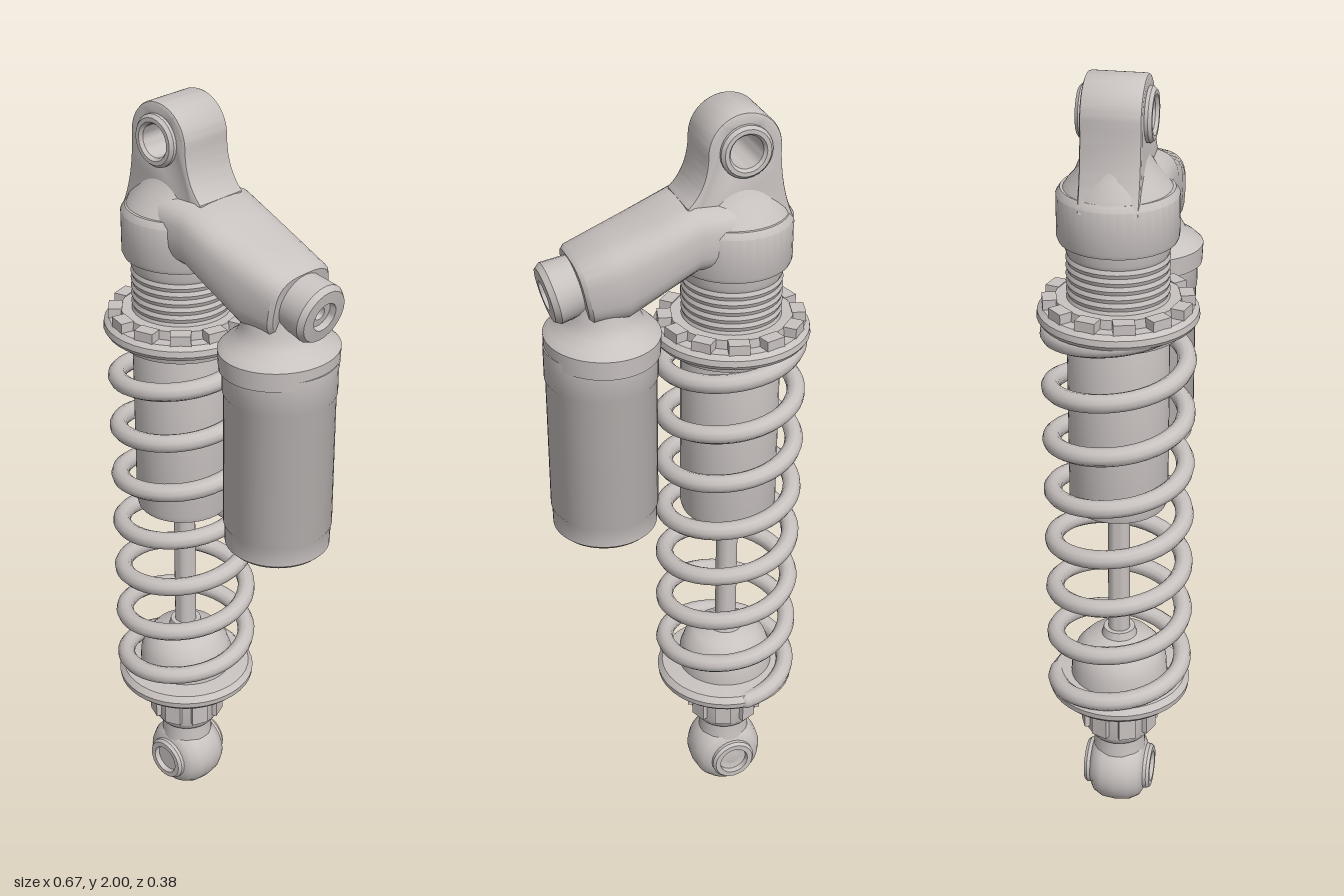
import * as THREE from 'three';
import { toCreasedNormals } from 'three/addons/utils/BufferGeometryUtils.js';

const AXIS = -0.14;   // x of the damper centre line
const RES = 0.19;     // x of the reservoir centre line
const metal = new THREE.MeshStandardMaterial({ color: 0xc8c2c0 });
metal.name = 'greyMetal';

export function createModel() {
  const model = new THREE.Group();
  model.name = 'shockAbsorber';

  function add(name, geo, x = 0, y = 0, z = 0, crease = 0.6) {
    const mesh = new THREE.Mesh(crease ? toCreasedNormals(geo, crease) : geo, metal);
    mesh.name = name;
    mesh.position.set(x, y, z);
    model.add(mesh);
    return mesh;
  }
  // profile: [radius, height] pairs, listed upwards along the outside
  const lathe = (pts, seg = 40) =>
    new THREE.LatheGeometry(pts.map(p => new THREE.Vector2(p[0], p[1])), seg);
  // ring of equal blocks around the damper axis
  function blocks(name, count, radius, y, w, h, d) {
    for (let i = 0; i < count; i++) {
      const a = (i + 0.5) / count * Math.PI * 2;
      const b = add(name, new THREE.BoxGeometry(w, h, d),
        AXIS + Math.sin(a) * radius, y, Math.cos(a) * radius, 0);
      b.rotation.y = a;
    }
  }

  // Damper body with threaded upper part
  const body = [[0, 0.93], [0.1, 0.93], [0.105, 0.915], [0.118, 0.92], [0.122, 0.935], [0.122, 1.47]];
  for (let y = 1.48; y < 1.6; y += 0.02) body.push([0.118, y], [0.122, y + 0.01]);
  body.push([0.122, 1.63]);
  add('damperBody', lathe(body), AXIS);
  add('pistonRod', new THREE.CylinderGeometry(0.028, 0.028, 0.5, 24), AXIS, 0.7);

  // Coil spring: rises from left side through the front
  class Helix extends THREE.Curve {
    getPoint(t, out = new THREE.Vector3()) {
      const turn = -0.25 + t * 7.4;
      const a = turn * Math.PI * 2;
      return out.set(-0.163 * Math.cos(a), 0.42 + 0.1414 * turn, 0.163 * Math.sin(a));
    }
  }
  const helix = new Helix();
  add('spring', new THREE.TubeGeometry(helix, 320, 0.023, 10), AXIS, 0, 0, 0);
  for (const t of [0, 1]) {
    const p = helix.getPoint(t);
    add('springEnd', new THREE.SphereGeometry(0.023, 10, 8), AXIS + p.x, p.y, p.z, 0);
  }

  // Upper spring collar with castellated rim
  add('upperCollar', lathe([[0.12, 1.39], [0.155, 1.39], [0.16, 1.41], [0.186, 1.415], [0.192, 1.425],
    [0.19, 1.44], [0.178, 1.45], [0.15, 1.45], [0.148, 1.472], [0.12, 1.472]]), AXIS);
  blocks('collarTooth', 12, 0.161, 1.456, 0.05, 0.036, 0.034);

  // Lower spring seat
  add('lowerSeat', lathe([[0, 0.335], [0.09, 0.335], [0.11, 0.355], [0.165, 0.36], [0.18, 0.375], [0.182, 0.39],
    [0.17, 0.405], [0.125, 0.41], [0.122, 0.45], [0.11, 0.485], [0.085, 0.513], [0.045, 0.525],
    [0.04, 0.545], [0, 0.545]]), AXIS);

  // Ribbed lock nut and stem
  add('lockNut', lathe([[0, 0.22], [0.075, 0.22], [0.088, 0.24], [0.088, 0.345], [0, 0.345]], 24), AXIS);
  blocks('nutRib', 8, 0.082, 0.293, 0.044, 0.085, 0.032);
  add('lowerStem', lathe([[0, 0.12], [0.075, 0.13], [0.068, 0.17], [0.066, 0.23], [0, 0.23]], 24), AXIS);

  // Lower eye: rounded barrel along z, with a recessed bearing
  add('lowerEye', lathe([[0, -0.07], [0.058, -0.072], [0.08, -0.06], [0.094, -0.035], [0.098, 0],
    [0.094, 0.035], [0.08, 0.06], [0.058, 0.072], [0, 0.07]], 32), AXIS, 0.1).rotation.x = Math.PI / 2;
  add('lowerBushing', lathe([[0, -0.066], [0.038, -0.074], [0.04, -0.088], [0.054, -0.088], [0.06, -0.08],
    [0.06, 0.08], [0.054, 0.088], [0.04, 0.088], [0.038, 0.074], [0, 0.074]], 24),
    AXIS, 0.1).rotation.x = Math.PI / 2;

  // Upper head ring and the shoulder that narrows to the eye
  add('head', lathe([[0.12, 1.615], [0.138, 1.615], [0.142, 1.625], [0.142, 1.725], [0.132, 1.74], [0, 1.74]]), AXIS);
  const shoulder = lathe([[0.138, 1.72], [0.128, 1.755], [0.108, 1.785], [0.096, 1.815], [0.088, 1.845], [0, 1.85]]);
  const sp = shoulder.attributes.position;
  for (let i = 0; i < sp.count; i++) sp.setZ(i, sp.getZ(i) * (1 - (sp.getY(i) - 1.72) / 0.14 * 0.4));
  add('shoulder', shoulder, AXIS);

  // Upper eye plate with a through hole
  const eye = new THREE.Shape();
  eye.moveTo(-0.12, -0.19);
  eye.quadraticCurveTo(-0.082, -0.11, -0.082, 0);
  eye.absarc(0, 0, 0.082, Math.PI, 0, true);
  eye.quadraticCurveTo(0.082, -0.08, 0.13, -0.125);
  eye.lineTo(0.13, -0.19);
  const hole = new THREE.Path();
  hole.absarc(0, 0, 0.055, 0, Math.PI * 2);
  eye.holes.push(hole);
  add('upperEye', new THREE.ExtrudeGeometry(eye, {
    depth: 0.124, bevelSize: 0.008, bevelThickness: 0.008, bevelSegments: 2, curveSegments: 20,
  }), AXIS, 1.91, -0.062);
  add('upperBushing', lathe([[0.04, -0.078], [0.046, -0.086], [0.056, -0.086], [0.063, -0.078],
    [0.063, 0.078], [0.056, 0.086], [0.046, 0.086], [0.04, 0.078], [0.04, -0.078]], 24),
    AXIS, 1.91).rotation.x = Math.PI / 2;

  // Arm: rounded sections [topX, topY, bottomX, bottomY, halfWidth]
  const sections = [
    [-0.12, 1.79, -0.12, 1.63, 0.115], [-0.02, 1.795, -0.02, 1.63, 0.12], [0.07, 1.76, 0.06, 1.585, 0.118],
    [0.17, 1.725, 0.14, 1.535, 0.11], [0.255, 1.695, 0.225, 1.53, 0.097], [0.264, 1.685, 0.235, 1.54, 0.088],
  ];
  const N = 32, pos = [], index = [];
  const soft = v => Math.sign(v) * Math.abs(v) ** 0.65;
  for (const [tx, ty, bx, by, w] of sections) {
    for (let j = 0; j < N; j++) {
      const a = j / N * Math.PI * 2, s = soft(Math.sin(a)) / 2;
      pos.push((tx + bx) / 2 + (tx - bx) * s, (ty + by) / 2 + (ty - by) * s, w * soft(Math.cos(a)));
    }
  }
  const last = (sections.length - 1) * N;
  for (let i = 0; i < last; i += N) {
    for (let j = 0; j < N; j++) {
      const a = i + j, b = i + (j + 1) % N;
      index.push(a, a + N, b, b, a + N, b + N);
    }
  }
  for (let j = 1; j < N - 1; j++) index.push(last, last + j + 1, last + j);
  const arm = new THREE.BufferGeometry();
  arm.setAttribute('position', new THREE.Float32BufferAttribute(pos, 3));
  arm.setIndex(index);
  add('arm', arm);

  // Adjuster bolt on the arm end, with a socket
  add('adjusterBolt', lathe([[0, -0.05], [0.07, -0.05], [0.075, 0.03], [0.066, 0.044], [0.036, 0.046],
    [0.034, 0.03], [0.016, 0.03], [0.014, 0.015], [0, 0.015]], 24),
    0.278, 1.606).rotation.z = -Math.PI / 2 - 0.22;

  // Reservoir, its cap and the neck joining the arm
  add('reservoir', lathe([[0, 0.938], [0.12, 0.938], [0.13, 0.948], [0.131, 1.0], [0.134, 1.005],
    [0.134, 1.36], [0.137, 1.365], [0.137, 1.45], [0, 1.45]], 48), RES);
  const neck = add('reservoirNeck', lathe([[0, 1.43], [0.137, 1.43], [0.139, 1.478], [0.125, 1.492],
    [0.1, 1.51], [0.085, 1.54], [0.08, 1.6], [0, 1.62]], 48), RES - 0.004);
  neck.scale.z = 1.09;

  return model;
}
